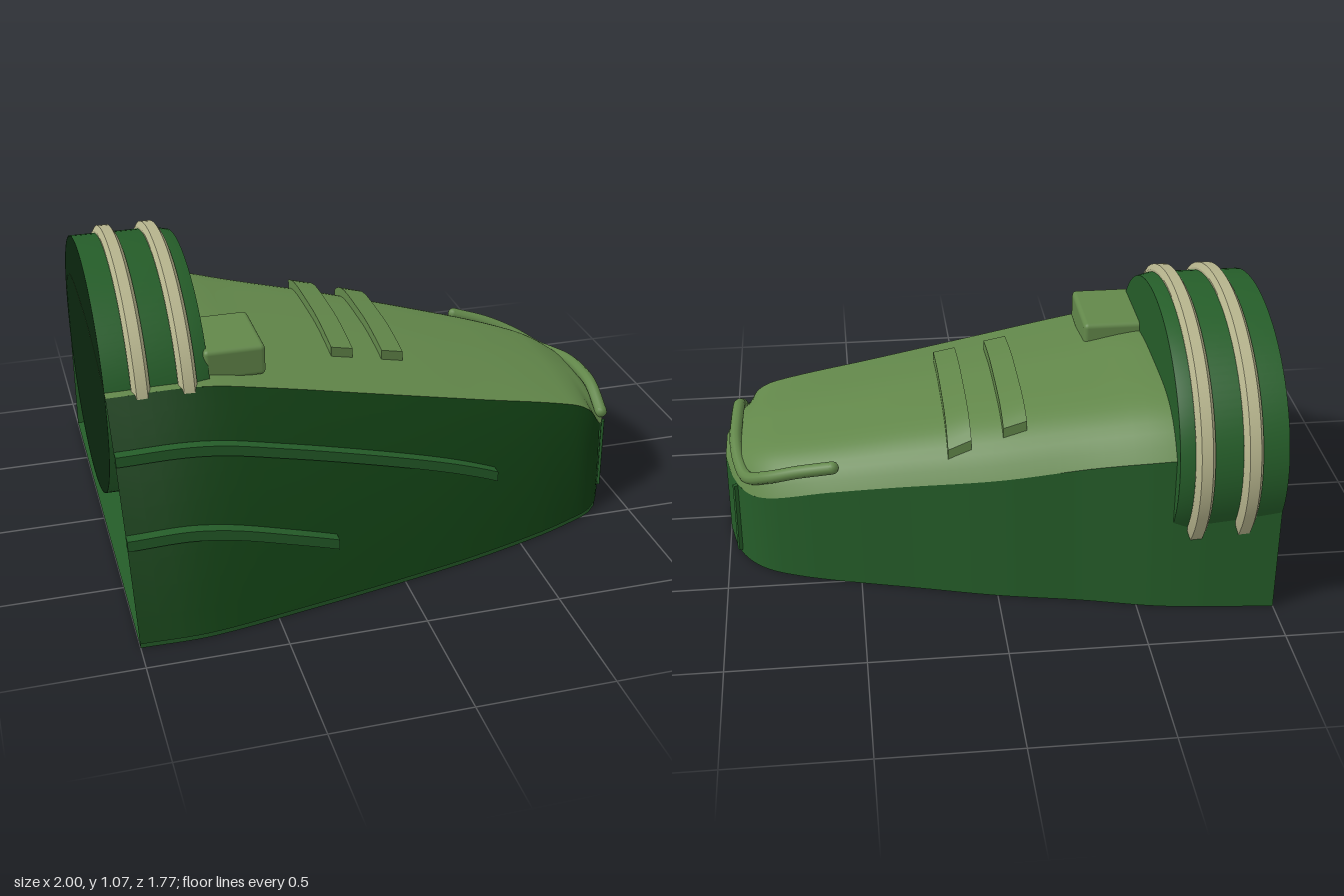
import * as THREE from 'three';
import { toCreasedNormals } from 'three/addons/utils/BufferGeometryUtils.js';
import { RoundedBoxGeometry } from 'three/addons/geometries/RoundedBoxGeometry.js';

const paint = (name, color) => new THREE.MeshStandardMaterial({ name, color, side: THREE.DoubleSide });

// Smooth function through [x, value] points (Hermite, central slopes)
function profile(p) {
  const slope = i => {
    const a = p[Math.max(i - 1, 0)], b = p[Math.min(i + 1, p.length - 1)];
    return (b[1] - a[1]) / (b[0] - a[0]);
  };
  return x => {
    let i = 0;
    while (i < p.length - 2 && x > p[i + 1][0]) i++;
    const w = p[i + 1][0] - p[i][0], t = (x - p[i][0]) / w, s = 1 - t;
    return p[i][1] * (1 + 2 * t) * s * s + p[i + 1][1] * t * t * (3 - 2 * t)
      + w * (slope(i) * t * s * s - slope(i + 1) * t * t * s);
  };
}

// Base outline (back and front z) and heights of the upper shell along x
const zBack = profile([[-1, -0.82], [-0.6, -0.78], [-0.3, -0.71], [0, -0.65], [0.3, -0.57], [0.6, -0.49],
  [0.75, -0.44], [0.85, -0.39], [0.92, -0.32], [0.97, -0.22], [1, -0.08]]);
const zFront = profile([[-1, 0.88], [-0.75, 0.88], [-0.4, 0.82], [0, 0.74], [0.3, 0.67], [0.6, 0.58],
  [0.75, 0.52], [0.83, 0.48], [0.88, 0.43], [0.92, 0.36], [0.97, 0.25], [1, 0.08]]);
const yFront = profile([[-1, 0.7], [-0.65, 0.7], [-0.4, 0.66], [0, 0.58], [0.4, 0.5], [0.8, 0.42],
  [0.88, 0.38], [0.92, 0.32], [0.97, 0.32], [1, 0.33]]);
const yBack = profile([[-1, 0.64], [-0.6, 0.62], [0, 0.5], [0.6, 0.39], [0.85, 0.32], [0.92, 0.31], [1, 0.33]]);
const yCrown = profile([[-1, 0.8], [-0.6, 0.78], [-0.4, 0.74], [0, 0.66], [0.4, 0.57], [0.8, 0.465],
  [0.92, 0.41], [0.97, 0.37], [1, 0.33]]);
const zEdge = x => Math.min(0.35, zFront(x));

// Crowned top, t from front edge (0) to back edge (1)
function topAt(x, t) {
  const base = yFront(x) * (1 - t) + yBack(x) * t;
  const bump = 1 - Math.abs(2 * t - 1) ** (t < 0.5 ? 1.8 : 5);
  return base + (yCrown(x) - base) * bump;
}
const topY = (x, z) => topAt(x, (zEdge(x) - z) / (zEdge(x) - zBack(x)));

// Sloping front, t from base (0) to upper edge (1)
const slopeAt = (x, t) => yFront(x) * (t + 0.25 * t * (1 - t));
const slopeY = (x, z) => slopeAt(x, (zFront(x) - z) / (zFront(x) - zEdge(x)));

// Grid surface from f(u, v) => [x, y, z]
function surface(nu, nv, f) {
  const pos = [], idx = [];
  for (let i = 0; i <= nu; i++) for (let j = 0; j <= nv; j++) {
    pos.push(...f(i / nu, j / nv));
    if (i < nu && j < nv) {
      const a = i * (nv + 1) + j, b = a + nv + 1;
      idx.push(a, b, a + 1, b, b + 1, a + 1);
    }
  }
  const g = new THREE.BufferGeometry();
  g.setAttribute('position', new THREE.Float32BufferAttribute(pos, 3));
  g.setIndex(idx);
  g.computeVertexNormals();
  return g;
}

// Move each vertex's height by a rule
function drape(g, rule) {
  const p = g.attributes.position;
  for (let i = 0; i < p.count; i++) p.setY(i, p.getY(i) + rule(p.getX(i), p.getZ(i)));
  g.computeVertexNormals();
  return g;
}

// Oval turned shape lying along x; points are [radius, x]
function ovalDrum(points) {
  const g = new THREE.LatheGeometry(points.map(p => new THREE.Vector2(...p)), 96);
  g.rotateZ(-Math.PI / 2).scale(1, 0.8, 1).translate(0, 0.56, -0.25);
  return toCreasedNormals(g, 0.5);
}

export function createModel() {
  const model = new THREE.Group();
  model.name = 'footShell';
  const lightGreen = paint('lightGreen', 0x62874a);
  const midGreen = paint('midGreen', 0x255d29);
  const darkGreen = paint('darkGreen', 0x103c12);
  const deepGreen = paint('deepGreen', 0x0a260e);
  const cream = paint('cream', 0xb5b38c);
  const add = (name, geometry, material) => {
    const m = new THREE.Mesh(geometry, material);
    m.name = name;
    model.add(m);
    return m;
  };
  const station = u => 1 - 2 * (1 - u) ** 2;   // denser toward the nose
  const NOSE = 0.92;

  // Body shell, open at the ankle end
  add('topShell', surface(64, 32, (u, v) => {
    const x = station(u);
    return [x, topAt(x, v), zEdge(x) + (zBack(x) - zEdge(x)) * v];
  }), lightGreen);
  add('frontShell', surface(48, 10, (u, v) => {
    const x = -1 + (1 + NOSE) * (1 - (1 - u) ** 2);
    return [x, slopeAt(x, v), zFront(x) + (zEdge(x) - zFront(x)) * v];
  }), darkGreen);
  add('noseAndBackWall', surface(90, 1, (u, v) => {
    const front = u < 0.2;
    const x = front ? NOSE + (1 - NOSE) * (1 - (1 - u / 0.2) ** 2) : 1 - 2 * ((u - 0.2) / 0.8) ** 2;
    // a short straight run closes the tip between the two sides
    const z = front ? zFront(x) : zBack(x);
    return [x, v * (front ? yFront(x) : yBack(x)), z];
  }), midGreen);
  add('floor', surface(64, 1, (u, v) => {
    const x = station(u);
    return [x, 0, zBack(x) + (zFront(x) - zBack(x)) * v];
  }), midGreen);
  add('baseLip', surface(48, 1, (u, v) => {
    const x = -1 + (1 + NOSE) * u;
    return [x, 0.018 * v, zFront(x) + 0.003];
  }), midGreen);

  // Ribs along the sloping front
  for (const [z, end] of [[0.51, 0.43], [0.69, -0.24]]) {
    const len = end + 1;
    const g = new THREE.BoxGeometry(len, 0.04, 0.042, 32, 1, 1).translate((end - 1) / 2, 0, z);
    add('frontRib', toCreasedNormals(drape(g, x => slopeY(x, z) + 0.012), 0.6), midGreen);
  }

  // Ribs across the top
  for (const x0 of [-0.07, 0.13]) {
    const g = new THREE.BoxGeometry(0.085, 0.06, 0.68, 1, 1, 24).translate(x0, 0.008, -0.21);
    add('topRib', toCreasedNormals(drape(g, topY), 0.6), lightGreen);
  }

  // Raised block beside the ankle
  add('topBlock', new RoundedBoxGeometry(0.23, 0.12, 0.325, 3, 0.018).translate(-0.515, 0.742, 0.122), lightGreen);

  // Bead curving around the nose
  const bead = new THREE.CatmullRomCurve3([
    [0.945, 0.345, 0.3], [0.95, 0.405, 0.18], [0.955, 0.41, 0.05], [0.957, 0.395, -0.08], [0.94, 0.37, -0.21],
    [0.91, 0.36, -0.3], [0.83, 0.4, -0.375], [0.72, 0.445, -0.425], [0.59, 0.48, -0.465],
  ].map(p => new THREE.Vector3(...p)));
  add('noseBead', new THREE.TubeGeometry(bead, 60, 0.024, 10), lightGreen);
  for (const t of [0, 1]) {
    const p = bead.getPoint(t);
    add('noseBeadEnd', new THREE.SphereGeometry(0.024, 12, 8).translate(p.x, p.y, p.z), lightGreen);
  }

  // Narrow upright seams on the nose
  for (const [x, z, turn] of [[0.948, 0.303, -0.5], [0.955, -0.265, 0.5]]) {
    const seam = add('noseSeam', new THREE.BoxGeometry(0.025, 0.29, 0.016), midGreen);
    seam.position.set(x, 0.163, z);
    seam.rotation.y = turn;
  }

  // Oval ankle drum with two raised hoops
  add('ankleDrum', ovalDrum([[0.6, -1], [0.6, -0.665], [0.585, -0.615], [0, -0.615]]), midGreen);
  add('ankleCap', new THREE.CircleGeometry(0.598, 96).rotateY(-Math.PI / 2).scale(1, 0.8, 1)
    .translate(-0.999, 0.56, -0.25), deepGreen);
  for (const x of [-0.87, -0.7]) {
    add('ankleHoop', ovalDrum([[0.59, x - 0.034], [0.61, x - 0.034], [0.635, x - 0.02],
      [0.635, x + 0.02], [0.61, x + 0.034], [0.59, x + 0.034]]), cream);
  }
  return model;
}
